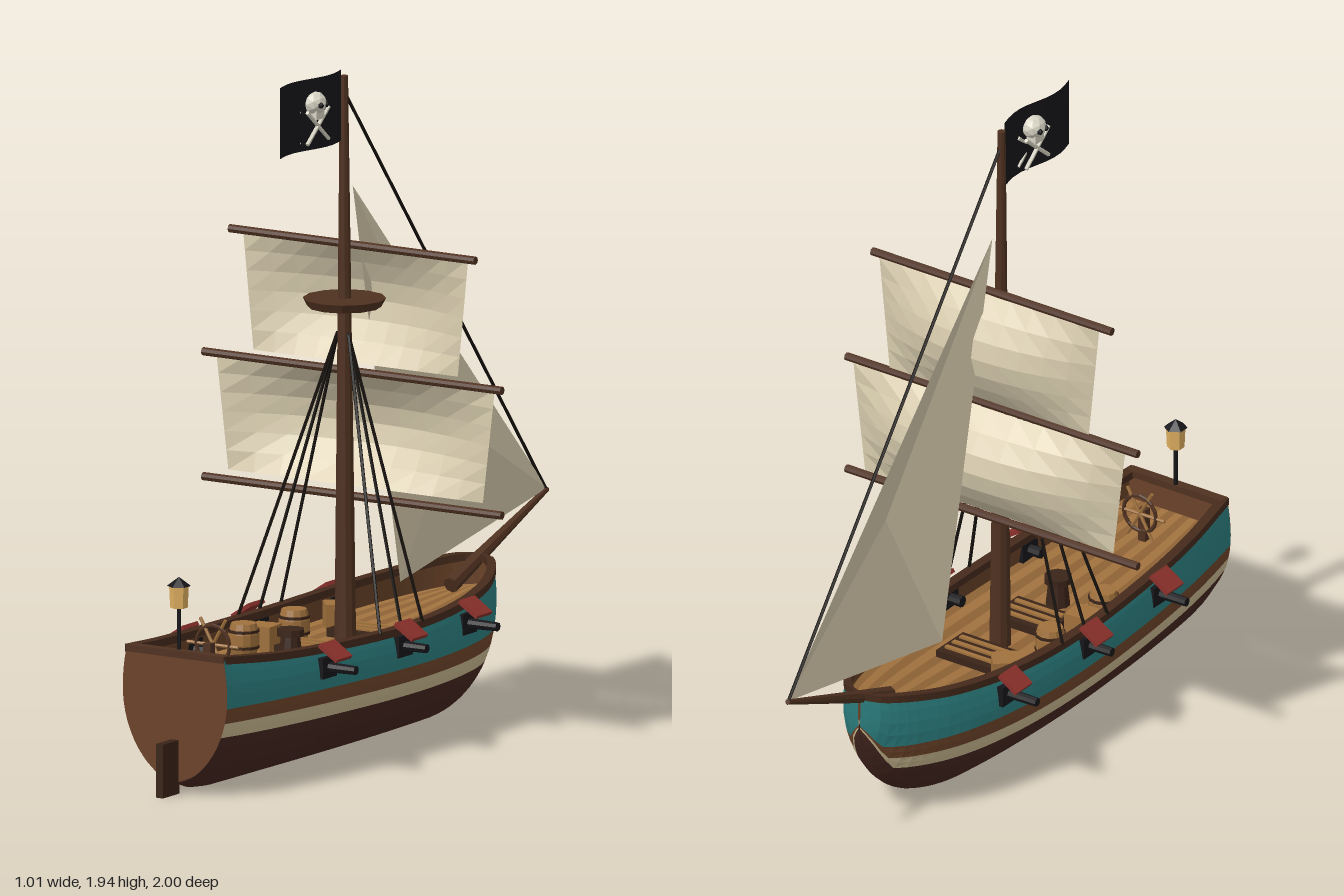
import * as THREE from 'three';

const V = (x, y, z) => new THREE.Vector3(x, y, z);
const mat = (color, side = THREE.FrontSide) =>
  new THREE.MeshStandardMaterial({ color, flatShading: true, side });
const wood = mat(0x4f3120), darkWood = mat(0x3a2418), tan = mat(0xa0713c), black = mat(0x16161a);
const red = mat(0x8a302a), rope = mat(0x17130f), bone = mat(0xd8d4c4), gold = mat(0xe0b060);
const both = c => mat(c, THREE.DoubleSide);

function add(parent, name, geometry, material, x = 0, y = 0, z = 0) {
  const m = new THREE.Mesh(geometry, material);
  m.name = name;
  m.position.set(x, y, z);
  parent.add(m);
  return m;
}

// tapered round bar between two points
function rod(parent, name, a, b, r0, r1, material, sides = 8) {
  const m = add(parent, name, new THREE.CylinderGeometry(r1, r0, a.distanceTo(b), sides), material);
  m.position.copy(a).lerp(b, 0.5);
  m.quaternion.setFromUnitVectors(V(0, 1, 0), b.clone().sub(a).normalize());
  return m;
}

// surface from a rule fn(u, v) -> Vector3, u and v in 0..1
function grid(nu, nv, fn) {
  const pos = [], idx = [];
  for (let i = 0; i <= nu; i++) for (let j = 0; j <= nv; j++) pos.push(...fn(i / nu, j / nv).toArray());
  for (let i = 0; i < nu; i++) for (let j = 0; j < nv; j++) {
    const a = i * (nv + 1) + j, b = a + nv + 1;
    idx.push(a, b, a + 1, b, b + 1, a + 1);
  }
  const g = new THREE.BufferGeometry();
  g.setAttribute('position', new THREE.Float32BufferAttribute(pos, 3));
  g.setIndex(idx);
  g.computeVertexNormals();
  return g;
}

// hull lines along z
const line = (xs, ys) => {
  const c = new THREE.CubicInterpolant(xs, ys, 1);
  return z => c.evaluate(z)[0];
};
const beam = line([-0.645, -0.63, -0.6, -0.5, -0.4, -0.2, 0.1, 0.4, 0.7, 0.92],
  [0.004, 0.05, 0.085, 0.15, 0.192, 0.237, 0.255, 0.244, 0.214, 0.176]);
const keelLine = line([-0.645, -0.62, -0.56, -0.48, -0.4, -0.32, 0.8, 0.84, 0.92],
  [0.29, 0.225, 0.12, 0.05, 0.015, 0, 0, 0.003, 0.03]);
const keel = z => Math.max(0, keelLine(z));
const sheer = line([-0.645, -0.4, 0, 0.4, 0.7, 0.92], [0.415, 0.383, 0.36, 0.365, 0.38, 0.402]);
const deckY = z => sheer(z) - 0.08;
const stationZ = u => 0.92 - 1.565 * (1 - Math.pow(1 - u, 1.5));
function halfWidth(z, y) {
  const k = keel(z), t = Math.min(1, Math.max(0, (y - k) / (sheer(z) - k)));
  const f = t < 0.7 ? Math.pow(1 - (1 - t / 0.7) ** 2, 0.6) : 1 - 0.07 * ((t - 0.7) / 0.3) ** 2;
  return Math.max(0.001, beam(z) * f);
}
// height of a colour band, swept up at the bow
function level(z, y) {
  const k = keel(z), s = sheer(z);
  return Math.min(s, Math.max(y + 0.012 * Math.max(0, z), k + 0.3 * (y / 0.36) * (s - k)));
}

function buildHull(g) {
  const N = 36;
  const bands = [
    ['hullBottom', keel, z => level(z, 0.165), 10, 0x45261f],
    ['creamStripe', z => level(z, 0.165), z => level(z, 0.207), 2, 0xc9b990],
    ['woodStripe', z => level(z, 0.207), z => level(z, 0.25), 2, 0x6e4429],
    ['topsides', z => level(z, 0.25), sheer, 4, 0x2b7d7e]];
  const bulwark = both(0x6a4328);
  const railMat = both(0x452a1b);
  for (const s of [1, -1]) {
    for (const [name, lo, hi, rows, color] of bands)
      add(g, name, grid(N, rows, (u, v) => {
        const z = stationZ(u), w = name === 'hullBottom' ? v * v : v;
        const y = lo(z) + (hi(z) - lo(z)) * w;
        return V(s * halfWidth(z, y), y, z);
      }), both(color));
    add(g, 'bulwark', grid(N, 1, (u, v) => {
      const z = stationZ(u), y = deckY(z) + 0.08 * v;
      return V(s * Math.max(0, halfWidth(z, y) - 0.012), y, z);
    }), bulwark);
    // rail cap with a rectangular section
    add(g, 'rail', grid(N, 4, (u, v) => {
      const z = stationZ(u), w = halfWidth(z, sheer(z)), c = Math.round(v * 4) % 4;
      const x = c === 0 || c === 3 ? w + 0.006 : Math.max(0, w - 0.024);
      return V(s * x, sheer(z) + (c < 2 ? 0.01 : -0.012), z);
    }), railMat);
  }
  // deck planks in two alternating tones
  const tones = [both(0xa0713e), both(0x8d6235)], planks = 14;
  for (let p = 0; p < planks; p++)
    add(g, 'deckPlank', grid(N, 1, (u, v) => {
      const z = stationZ(u), w = Math.max(0, halfWidth(z, deckY(z)) - 0.01);
      return V(w * (2 * (p + v) / planks - 1), deckY(z), z);
    }), tones[p % 2]);
  // flat stern with its cap
  for (const z of [0.921, 0.9])
    add(g, 'transom', grid(14, 8, (u, v) => {
      const y = 0.03 + (sheer(0.92) - 0.03) * u;
      return V(halfWidth(0.92, y) * (2 * v - 1), y, z);
    }), both(0x6b4229));
  add(g, 'transomCap', new THREE.BoxGeometry(0.33, 0.02, 0.03), wood, 0, 0.402, 0.908);
  add(g, 'rudder', new THREE.BoxGeometry(0.024, 0.155, 0.085), darkWood, 0, 0.0775, 0.9575);
}

function buildGuns(g) {
  for (const s of [1, -1]) for (const z of [0.49, 0.125, -0.24]) {
    const w = halfWidth(z, 0.32);
    add(g, 'gunPort', new THREE.BoxGeometry(0.03, 0.06, 0.072), black, s * (w - 0.005), 0.317, z);
    rod(g, 'cannon', V(s * (w - 0.06), 0.317, z), V(s * 0.33, 0.317, z), 0.017, 0.013, black);
    const lid = add(g, 'portLid', new THREE.BoxGeometry(0.072, 0.012, 0.078), red, s * (w + 0.027), 0.365, z);
    lid.rotation.z = -s * 0.58;
  }
}

function buildRig(g) {
  rod(g, 'mast', V(0, 0.27, 0.043), V(0, 1.92, 0.05), 0.032, 0.012, wood, 10);
  rod(g, 'bowsprit', V(0, 0.355, -0.5), V(0, 0.548, -0.995), 0.024, 0.008, wood);
  add(g, 'crowsNest', new THREE.CylinderGeometry(0.118, 0.105, 0.025, 12), wood, 0, 1.267, 0.048);
  for (const [y, h] of [[1.425, 0.415], [1.06, 0.505], [0.7, 0.505]])
    rod(g, 'yard', V(-h, y, 0.005), V(h, y, 0.005), 0.012, 0.012, wood);

  // square sails bellied towards the bow
  const cloth = both(0xd8ccae);
  for (const [top, bottom, wTop, wBottom, belly] of [[1.42, 1.08, 0.38, 0.345, 0.08], [1.055, 0.725, 0.47, 0.43, 0.098]])
    add(g, 'squareSail', grid(10, 6, (u, v) => {
      const a = 2 * u - 1;
      return V(a * (wTop + (wBottom - wTop) * v), top + (bottom - top) * v,
        -0.01 - belly * Math.sin(Math.PI * v) * (1 - a * a));
    }), cloth);

  // three-cornered headsail, raised at its middle
  const corners = [V(0, 1.595, 0.005), V(0, 0.55, -0.995), V(0, 0.41, -0.24)], mid = V(0.075, 0.85, -0.41);
  const jib = new THREE.BufferGeometry().setFromPoints(
    corners.flatMap((c, i) => [c, mid, corners[(i + 1) % 3]]));
  jib.computeVertexNormals();
  add(g, 'headsail', jib, cloth);

  rod(g, 'forestay', V(0, 1.87, 0.045), V(0, 0.55, -0.99), 0.005, 0.005, rope, 5);
  for (const s of [1, -1]) for (const z of [0.23, 0.12, 0.01])
    rod(g, 'shroud', V(s * 0.018, 1.18, 0.055), V(s * 0.24, 0.365, z), 0.005, 0.005, rope, 5);
}

function buildFlag(g) {
  const wave = z => 0.014 * Math.sin((z - 0.065) * 20);
  add(g, 'flag', grid(10, 1, (u, v) => {
    const z = 0.065 + 0.315 * u;
    return V(wave(z), 1.735 + 0.205 * v, z);
  }), both(0x17171a));
  const skull = add(g, 'skull', new THREE.IcosahedronGeometry(0.038, 1), bone, 0, 1.868, 0.205);
  skull.scale.set(1, 0.9, 1);
  add(g, 'jaw', new THREE.BoxGeometry(0.044, 0.03, 0.04), bone, 0, 1.838, 0.205);
  for (const s of [1, -1]) {
    for (const d of [1, -1]) {
      add(g, 'eye', new THREE.IcosahedronGeometry(0.01, 0), black, s * 0.032, 1.866, 0.205 + d * 0.014);
      rod(g, 'crossedBone', V(s * 0.014, 1.757, 0.205 - d * 0.055), V(s * 0.014, 1.85, 0.205 + d * 0.055), 0.006, 0.006, bone, 6);
    }
  }
}

function buildDeckGear(g) {
  // hatches with gratings
  for (const z of [0.2, -0.07]) {
    const y = deckY(z);
    add(g, 'hatch', new THREE.BoxGeometry(0.19, 0.025, 0.13), darkWood, 0, y + 0.012, z);
    for (let i = -1; i <= 1; i++)
      add(g, 'hatchBar', new THREE.BoxGeometry(0.165, 0.008, 0.014), tan, 0, y + 0.027, z + i * 0.036);
  }
  // barrels with dark hoops
  const stave = [[0, 0], [0.036, 0], [0.044, 0.03], [0.044, 0.06], [0.036, 0.09], [0, 0.09]];
  for (const z of [0.07, 0.33]) {
    add(g, 'barrel', new THREE.LatheGeometry(stave.map(p => new THREE.Vector2(...p)), 12), tan, -0.155, deckY(z), z);
    for (const h of [0.022, 0.068])
      add(g, 'barrelHoop', new THREE.CylinderGeometry(0.045, 0.045, 0.008, 12), darkWood, -0.155, deckY(z) + h, z);
  }
  for (const [x, z, r] of [[-0.155, 0.225, 0.1], [-0.14, -0.13, 0.7]])
    add(g, 'crate', new THREE.BoxGeometry(0.075, 0.07, 0.075), tan, x, deckY(z) + 0.035, z).rotation.y = r;
  // capstan
  add(g, 'capstan', new THREE.CylinderGeometry(0.028, 0.036, 0.07, 10), darkWood, 0, deckY(0.325) + 0.035, 0.325);
  add(g, 'capstanHead', new THREE.CylinderGeometry(0.04, 0.04, 0.02, 10), darkWood, 0, deckY(0.325) + 0.08, 0.325);
  // steering wheel
  add(g, 'wheelPost', new THREE.BoxGeometry(0.025, 0.1, 0.025), wood, 0, deckY(0.74) + 0.05, 0.745);
  add(g, 'wheelRim', new THREE.TorusGeometry(0.056, 0.006, 6, 16), wood, 0, 0.395, 0.725);
  for (let i = 0; i < 3; i++) {
    const p = V(0.086, 0, 0).applyAxisAngle(V(0, 0, 1), i * Math.PI / 3), c = V(0, 0.395, 0.725);
    rod(g, 'wheelSpoke', c.clone().sub(p), c.clone().add(p), 0.005, 0.005, tan, 6);
  }
  // stern lantern
  rod(g, 'lanternPole', V(0, 0.4, 0.9), V(0, 0.535, 0.9), 0.006, 0.006, black, 6);
  add(g, 'lantern', new THREE.CylinderGeometry(0.028, 0.025, 0.065, 6), gold, 0, 0.565, 0.9);
  add(g, 'lanternCap', new THREE.ConeGeometry(0.034, 0.026, 6), black, 0, 0.608, 0.9);
}

export function createModel() {
  const ship = new THREE.Group();
  ship.name = 'sailingShip';
  const parts = { hull: buildHull, guns: buildGuns, rig: buildRig, flagGroup: buildFlag, deckGear: buildDeckGear };
  for (const [name, build] of Object.entries(parts)) {
    const g = new THREE.Group();
    g.name = name;
    build(g);
    ship.add(g);
  }
  return ship;
}
